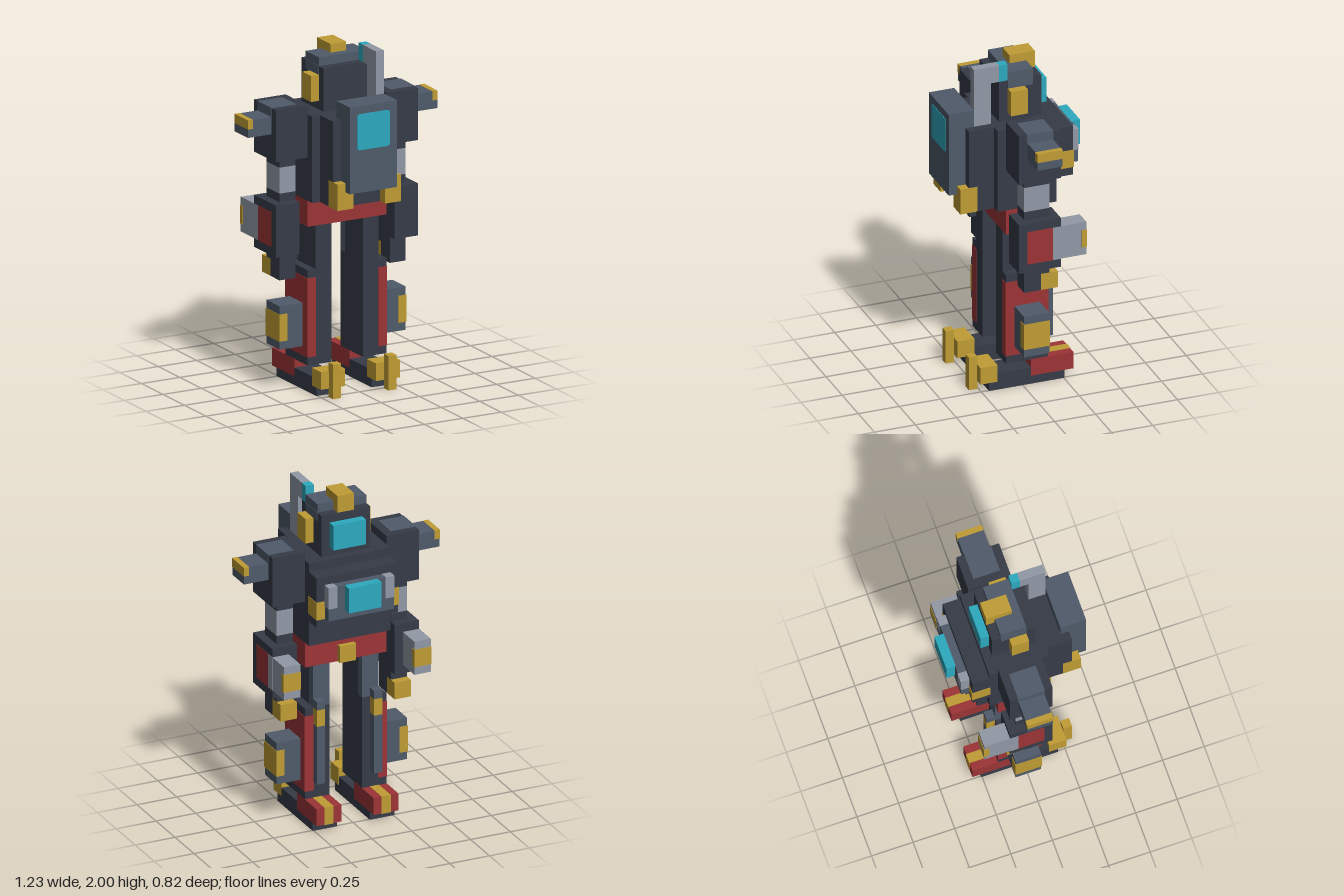
import * as THREE from 'three';

const U = 2 / 39; // one block
const G = 0.06;   // growth for painted details, in blocks

const mat = (name, color) => {
  const m = new THREE.MeshStandardMaterial({ color });
  m.name = name;
  return m;
};

export function createModel() {
  const dark = mat('charcoal', 0x353b47);
  const slate = mat('slate', 0x4f5a6a);
  const grey = mat('light grey', 0x9199a6);
  const red = mat('red', 0x9c3436);
  const gold = mat('gold', 0xbf9c34);
  const cyan = mat('cyan', 0x2da9bf);
  const model = new THREE.Group();
  model.name = 'robot';

  // Block given by its lower and upper corners, in block units
  const box = (parent, name, m, [x0, x1], [y0, y1], [z0, z1], grow = 0) => {
    const g = 2 * grow;
    const mesh = new THREE.Mesh(
      new THREE.BoxGeometry((x1 - x0 + g) * U, (y1 - y0 + g) * U, (z1 - z0 + g) * U), m);
    mesh.position.set((x0 + x1) / 2 * U, (y0 + y1) / 2 * U, (z0 + z1) / 2 * U);
    mesh.name = name;
    parent.add(mesh);
    return mesh;
  };
  // The same block on both sides
  const pair = (parent, name, m, [x0, x1], y, z, grow) => {
    box(parent, name + 'Left', m, [x0, x1], y, z, grow);
    box(parent, name + 'Right', m, [-x1, -x0], y, z, grow);
  };
  const section = (name) => {
    const g = new THREE.Group();
    g.name = name;
    model.add(g);
    return g;
  };

  // Head
  const head = section('head');
  box(head, 'skull', dark, [-3, 3], [32, 37], [-3, 2]);
  box(head, 'crown', slate, [-3, 3], [37, 38], [-2, 1]);
  pair(head, 'temple', slate, [2.95, 3.05], [36, 37], [-2, 1]);
  box(head, 'crest', gold, [-1, 1], [37, 39], [-3, 0], 0.01);
  pair(head, 'ear', gold, [3, 4], [33, 36], [-1, 1]);
  box(head, 'rearVisor', cyan, [-2, 2], [33, 36], [-4, -3]);
  box(head, 'antennaPost', grey, [2, 3], [32, 39], [3, 5]);
  box(head, 'antennaArm', grey, [2, 3], [37, 39], [2, 3]);
  box(head, 'antennaTip', cyan, [2, 3], [37, 39], [1, 2]);

  // Torso
  const torso = section('torso');
  box(torso, 'body', dark, [-5, 5], [22, 32], [-4, 3]);
  box(torso, 'bodyFront', dark, [-4, 4], [22, 32], [3, 6]);
  box(torso, 'chestPlate', slate, [-3, 3], [24, 34], [5, 8]);
  pair(torso, 'chestClip', gold, [2, 4], [22, 25], [5, 7], 0.03);
  // Chest window with rounded corners
  const w = 2.08 * U, r = 0.35 * U;
  const pane = new THREE.Shape();
  [[1, 1, 0], [-1, 1, 1], [-1, -1, 2], [1, -1, 3]].forEach(([sx, sy, q]) =>
    pane.absarc(sx * (w - r), sy * (w - r), r, q * Math.PI / 2, (q + 1) * Math.PI / 2, false));
  const windowPane = new THREE.Mesh(
    new THREE.ExtrudeGeometry(pane, { depth: 0.004, bevelEnabled: false, curveSegments: 3 }), cyan);
  windowPane.name = 'chestWindow';
  windowPane.position.set(0, 31 * U, 8 * U - 0.001);
  torso.add(windowPane);

  // Backpack
  const pack = section('backpack');
  box(pack, 'packBody', dark, [-5, 5], [25, 31], [-6, -4]);
  pair(pack, 'packCorner', gold, [4, 5], [26, 28], [-6, -4], G);
  box(pack, 'packPlate', slate, [-4, 4], [26, 30], [-7, -6]);
  pair(pack, 'packVent', grey, [3, 4], [27.5, 30], [-7, -6], 0.04);
  box(pack, 'packScreen', cyan, [-2, 2], [27, 30], [-8, -7 + G], 0.01);

  // Pelvis
  const pelvis = section('pelvis');
  box(pelvis, 'hips', red, [-5, 5], [19, 22], [-3, 2]);
  box(pelvis, 'rearBuckle', gold, [-1, 1], [19, 21], [-3.6, -3]);

  // Arms
  const arms = section('arms');
  pair(arms, 'shoulder', dark, [5, 9], [27, 33], [-3, 2]);
  pair(arms, 'shoulderPatch', slate, [6, 9], [32, 33], [-2, 1], G);
  pair(arms, 'shoulderBarrel', slate, [9, 12], [30, 32], [-2, 1]);
  pair(arms, 'barrelTip', gold, [11.4, 12], [31, 32], [-2, 1], 0.03);
  pair(arms, 'shoulderJoint', dark, [6, 8], [26, 27], [-2, 1]);
  pair(arms, 'upperArm', grey, [6, 8], [23, 26], [-2, 1]);
  pair(arms, 'elbow', dark, [6, 8], [22, 23], [-2, 1]);
  pair(arms, 'forearm', dark, [6, 9], [16, 22], [-3, 2]);
  pair(arms, 'forearmPanel', red, [8.95, 9.05], [17, 21], [-2, 1]);
  pair(arms, 'forearmThruster', grey, [7, 9], [17, 21], [-6, -3]);
  pair(arms, 'thrusterPatch', grey, [8.95, 9.05], [17, 21], [-3, -2]);
  pair(arms, 'thrusterBand', gold, [7, 9], [18, 20], [-6, -5.5], G);
  pair(arms, 'hand', dark, [6, 8], [13, 16], [-1, 1]);
  pair(arms, 'wrist', dark, [6, 8], [15, 16], [-2, -1]);
  pair(arms, 'thumb', gold, [6, 8], [13, 15], [-3, -1]);

  // Legs
  const legs = section('legs');
  pair(legs, 'thigh', dark, [2, 4], [14, 19], [-2, 2]);
  pair(legs, 'thighBack', slate, [2, 4], [14, 19], [-3, -2]);
  pair(legs, 'shin', dark, [2, 5], [3, 14], [-3, 2]);
  pair(legs, 'shinPanel', red, [4, 5], [4, 13], [-3, 2], G);
  pair(legs, 'calfStripLower', slate, [3, 4], [5, 12], [-4, -3]);
  pair(legs, 'calfLight', gold, [3, 4], [12, 14], [-4, -3]);
  pair(legs, 'calfStripUpper', slate, [3, 4], [14, 15], [-4, -3]);
  pair(legs, 'legPod', slate, [5, 8], [5, 10], [-2, 1]);
  pair(legs, 'podBand', gold, [7.1, 8], [6, 9], [-2, 1], G);

  // Feet
  const feet = section('feet');
  pair(feet, 'sole', dark, [2, 5], [0, 2], [-5, 4]);
  pair(feet, 'heel', red, [2, 5], [1, 3], [-6, -1], 0.02);
  pair(feet, 'heelStripe', gold, [3, 4], [1, 3], [-6, -3], G);
  pair(feet, 'toe', gold, [2, 5], [1, 3], [3, 5], 0.02);
  pair(feet, 'toeClaw', gold, [3, 4], [0, 4], [5, 6]);

  return model;
}
